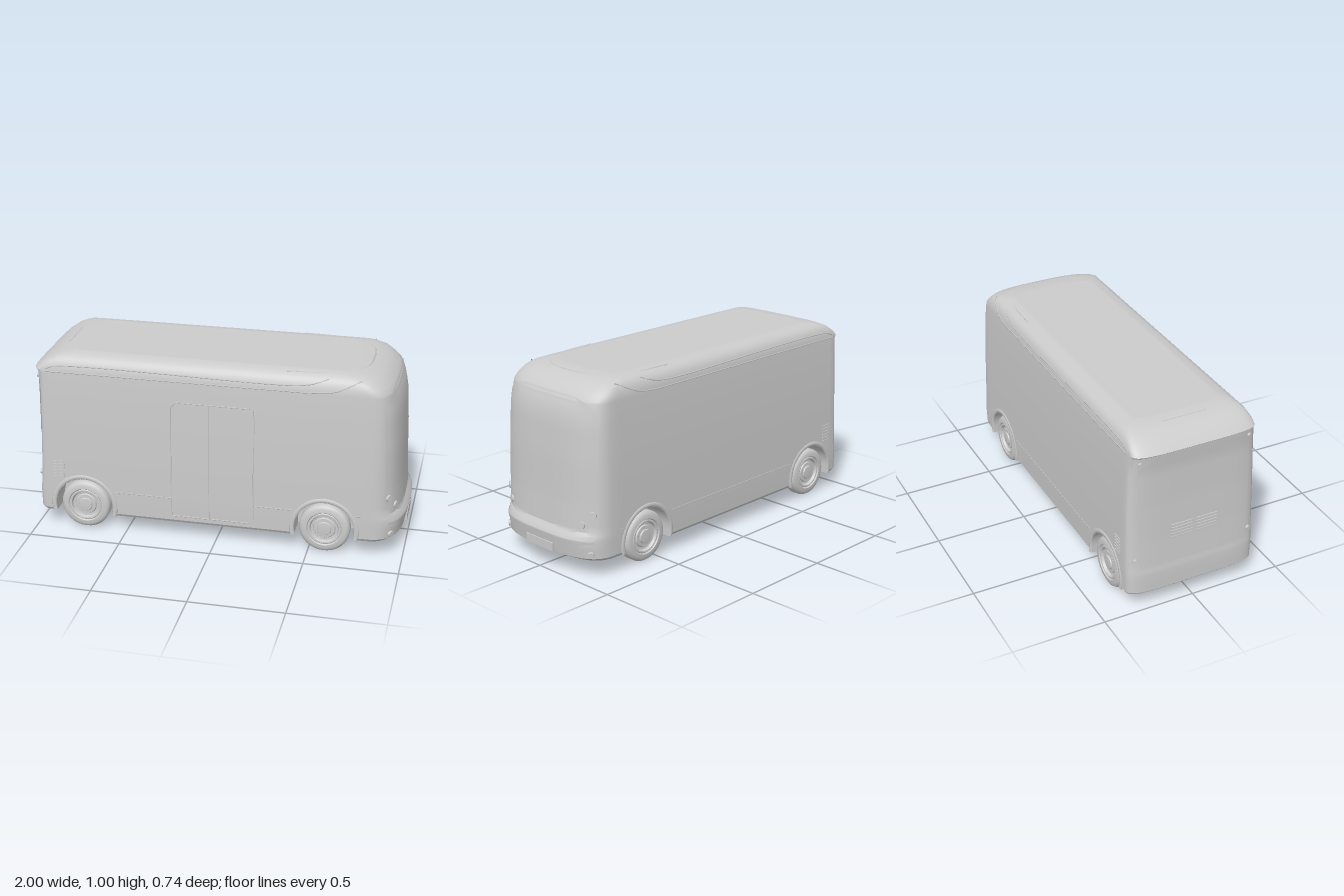
import * as THREE from 'three';
import { toCreasedNormals } from 'three/addons/utils/BufferGeometryUtils.js';

// Body profile by height: y, rear x, rear corner x, front corner x, front x, half width
const PROFILE = [
  [0.09, -0.985, -0.9, 0.78, 0.96, 0.352], [0.105, -1, -0.9, 0.78, 0.985, 0.361],
  [0.2, -1, -0.9, 0.78, 1, 0.363], [0.225, -0.998, -0.9, 0.78, 0.988, 0.363],
  [0.24, -0.995, -0.9, 0.78, 0.974, 0.363], [0.4, -0.985, -0.9, 0.78, 0.964, 0.361],
  [0.6, -0.978, -0.9, 0.78, 0.958, 0.357], [0.8, -0.976, -0.9, 0.78, 0.945, 0.349],
  [0.893, -0.985, -0.9, 0.78, 0.922, 0.343], [0.905, -1, -0.9, 0.78, 0.917, 0.342],
  [0.93, -0.975, -0.88, 0.76, 0.893, 0.338], [0.96, -0.935, -0.84, 0.73, 0.855, 0.325],
  [0.98, -0.89, -0.8, 0.68, 0.81, 0.305], [0.99, -0.855, -0.76, 0.64, 0.775, 0.28],
  [0.995, -0.8, -0.7, 0.6, 0.7, 0.24]];
const AXLES = [-0.73, 0.585], AXLE_Y = 0.135, ARCH = 0.16, FLOOR = 0.09, WELL_Z = 0.22;
const FRONT_P = 3, REAR_P = 5;
const V = (x, y, z) => new THREE.Vector3(x, y, z);
const grey = new THREE.MeshStandardMaterial({ color: 0xcccccc });
const thin = new THREE.MeshStandardMaterial({ color: 0xcccccc, side: THREE.DoubleSide });

function section(y) {
  let i = 0;
  while (i < PROFILE.length - 2 && y > PROFILE[i + 1][0]) i++;
  const a = PROFILE[i], b = PROFILE[i + 1];
  const t = THREE.MathUtils.clamp((y - a[0]) / (b[0] - a[0]), 0, 1);
  const [, xb, xr, xs, xf, hw] = a.map((v, k) => v + (b[k] - v) * t);
  return { xb, xr, xs, xf, hw };
}

// x of the front (dir 1) or rear (dir -1) skin
function endX(y, z, dir) {
  const s = section(y), p = dir > 0 ? FRONT_P : REAR_P;
  const k = Math.pow(Math.max(0, 1 - Math.pow(Math.abs(z) / s.hw, p)), 1 / p);
  return dir > 0 ? s.xs + (s.xf - s.xs) * k : s.xr + (s.xb - s.xr) * k;
}

// Smooth surface through rows of points
function grid(rows, crease = 0.5) {
  const n = rows[0].length, idx = [];
  for (let j = 0; j < rows.length - 1; j++) for (let i = 0; i < n - 1; i++) {
    const a = j * n + i, b = a + n;
    idx.push(a, a + 1, b, a + 1, b + 1, b);
  }
  const g = new THREE.BufferGeometry().setFromPoints(rows.flat());
  g.setIndex(idx);
  return toCreasedNormals(g, crease);
}

export function createModel() {
  const group = new THREE.Group();
  const add = (name, geo, mat = grey, parent = group) => {
    const m = new THREE.Mesh(geo, mat);
    m.name = name;
    parent.add(m);
    return m;
  };

  // Columns around half the body, rear centre to front centre
  const cols = [], E = 14;
  for (let i = 0; i < E; i++) cols.push({ end: -1, a: (1 - i / E) * Math.PI / 2 });
  const side = (x, bottom = FLOOR, well = false) => cols.push({ end: 0, x, bottom, well });
  side(-0.9);
  for (const ax of AXLES) {
    side(ax - ARCH);
    for (let i = 0; i <= 24; i++) {
      const a = Math.PI * (1 - i / 24);
      side(ax + ARCH * Math.cos(a), AXLE_Y + ARCH * Math.sin(a), true);
    }
    side(ax + ARCH);
    if (ax < 0) for (let x = -0.45; x < 0.4; x += 0.2) side(x);
  }
  side(0.78);
  for (let i = 1; i <= E; i++) cols.push({ end: 1, a: i / E * Math.PI / 2 });

  const skin = (c, y, s) => {
    if (c.end === 0) {
      const h = Math.max(y, c.bottom), q = section(h);
      return V(q.xr + (c.x + 0.9) / 1.68 * (q.xs - q.xr), h, s * q.hw);
    }
    const q = section(y), e = 2 / (c.end > 0 ? FRONT_P : REAR_P);
    const k = Math.pow(Math.sin(c.a), e), z = q.hw * Math.pow(Math.max(0, Math.cos(c.a)), e);
    return V(c.end > 0 ? q.xs + (q.xf - q.xs) * k : q.xr + (q.xb - q.xr) * k, y, s * z);
  };
  const levels = [...PROFILE.map(r => r[0]), 0.15, 0.28, 0.32, 0.5, 0.7, 0.945, 0.97].sort((a, b) => a - b);
  add('bodyShell', grid(levels.map(y => [
    ...cols.map(c => skin(c, y, 1)), ...cols.slice().reverse().map(c => skin(c, y, -1))])));

  // Roof and floor close the shell; the floor is notched at the wheels
  add('roof', grid([1, -1].map(s => cols.map(c => skin(c, 0.995, s)))));
  add('floor', grid([-1, 1].map(s => cols.map(c => {
    const p = skin(c, FLOOR, s);
    return V(p.x, FLOOR, c.well ? s * WELL_Z : p.z);
  }))), thin);

  // Wheel: tyre, rim and hub turned as one profile
  const wheelGeo = toCreasedNormals(new THREE.LatheGeometry([
    [0, -0.04], [0.11, -0.04], [0.128, -0.034], [0.135, -0.022], [0.135, 0.022], [0.128, 0.034],
    [0.116, 0.04], [0.095, 0.041], [0.09, 0.035], [0.086, 0.038], [0.078, 0.037], [0.072, 0.024],
    [0.06, 0.022], [0.056, 0.029], [0.038, 0.031], [0.035, 0.037], [0, 0.039]
  ].map(p => new THREE.Vector2(...p)), 40), 0.6);
  for (const s of [1, -1]) for (const ax of AXLES) {
    const wheel = add('wheel', wheelGeo);
    wheel.rotation.x = s * Math.PI / 2;
    wheel.position.set(ax, AXLE_Y, s * 0.312);
    // Wheel well with its inner wall
    const contour = [[ARCH, FLOOR - AXLE_Y]];
    for (let i = 0; i <= 24; i++) contour.push([ARCH * Math.cos(i * Math.PI / 24), ARCH * Math.sin(i * Math.PI / 24)]);
    contour.push([-ARCH, FLOOR - AXLE_Y]);
    const loop = (k, z) => contour.map(([x, y]) => V(ax + x * k, k ? AXLE_Y + y : FLOOR, s * z));
    add('wheelWell', grid([loop(0, WELL_Z), loop(1, WELL_Z), loop(1, 0.36)]), thin);
    // Raised arch trim
    const flare = add('archTrim', new THREE.TorusGeometry(0.172, 0.013, 8, 32, Math.PI + 0.5));
    flare.geometry.rotateZ(-0.25);
    flare.scale.z = 0.5;
    flare.position.set(ax, AXLE_Y, s * 0.361);
  }

  // Thin trim bead through 3D points
  const bead = (name, pts, r = 0.003, curved = false) => {
    let path = new THREE.CatmullRomCurve3(pts);
    if (!curved) {
      path = new THREE.CurvePath();
      for (let i = 1; i < pts.length; i++) path.add(new THREE.LineCurve3(pts[i - 1], pts[i]));
    }
    return add(name, new THREE.TubeGeometry(path, pts.length * 6, r, 5), thin);
  };
  const onSide = (pts, s) => pts.map(([x, y]) => V(x, y, s * section(y).hw));
  for (const s of [1, -1]) {
    bead('cantrailLower', onSide([[-0.92, 0.9], [0.3, 0.9], [0.52, 0.902], [0.62, 0.915], [0.7, 0.95], [0.75, 0.975]], s), 0.0035, true);
    bead('cantrailUpper', onSide([[-0.92, 0.915], [-0.88, 0.93], [0.3, 0.93], [0.44, 0.935], [0.52, 0.95], [0.58, 0.972]], s), 0.0035, true);
    const belts = s > 0 ? [[-0.55, -0.24], [0.205, 0.41], [0.76, 0.86]] : [[-0.55, 0.41], [0.76, 0.86]];
    for (const [a, b] of belts)
      bead('beltLine', [a, b].map(x => V(x, 0.235, s * (x > 0.78 ? 0.352 : 0.363))), 0.0025);
    for (let i = 0; i < 6; i++) {
      const slat = add('ventSlat', new THREE.BoxGeometry(0.06, 0.007, 0.008));
      slat.position.set(-0.865, 0.3 + i * 0.018, s * 0.361);
    }
  }

  // Double door on the left-hand flank of the +z side
  bead('doorFrame', onSide([[-0.24, 0.13], [-0.24, 0.4], [-0.24, 0.785], [0.205, 0.785], [0.205, 0.4], [0.205, 0.13], [-0.24, 0.13]], 1));
  bead('doorSplit', onSide([[-0.035, 0.13], [-0.035, 0.4], [-0.035, 0.785]], 1));

  // Roof panel outline and rear roof seam
  bead('roofPanelEdge', [[0.36, 0.285], [0.58, 0.27], [0.7, 0.22], [0.76, 0.13], [0.775, 0], [0.76, -0.13], [0.7, -0.22], [0.58, -0.27], [0.36, -0.285]]
    .map(([x, z]) => V(x, x > 0.65 ? 0.989 : 0.988, z)), 0.004, true);
  bead('roofSeam', [V(-0.855, 0.989, -0.12), V(-0.855, 0.989, 0.12)]);

  // Panels hugging the front or rear skin; lo and hi give the edges at each z
  const patch = (name, dir, w, lo, hi, off = 0.004) => {
    const rows = [];
    for (let j = 0; j <= 12; j++) rows.push(Array.from({ length: 33 }, (_, i) => {
      const z = dir * w * (1 - i / 16), y = THREE.MathUtils.lerp(lo(z), hi(z), j / 12);
      return V(endX(y, z, dir) + dir * off, y, z);
    }));
    return add(name, grid(rows), thin);
  };
  const bend = (z, from, to) => THREE.MathUtils.smoothstep(Math.abs(z), from, to);
  patch('windscreen', 1, 0.33, z => 0.383 + 0.014 * bend(z, 0.2, 0.24), z => 0.918 - 0.09 * Math.pow(Math.abs(z) / 0.33, 6));
  patch('lampPanel', 1, 0.335, z => 0.232 + 0.05 * bend(z, 0.2, 0.36), z => 0.377 + 0.014 * bend(z, 0.2, 0.24), 0.003);
  patch('bumperLip', 1, 0.33, z => 0.165 + 0.02 * bend(z, 0.15, 0.34), z => 0.205 + 0.02 * bend(z, 0.15, 0.34), 0.003);
  patch('rearWindow', -1, 0.31, () => 0.53, z => 0.885 - 0.06 * Math.pow(Math.abs(z) / 0.31, 6));
  patch('engineHatch', -1, 0.3, () => 0.25, () => 0.515, 0.003);

  // Lamps set square to the skin
  const lamp = (name, dir, y, z, r) => {
    const d = 0.005, n = V(dir, -dir * (endX(y + d, z, dir) - endX(y - d, z, dir)) / (2 * d),
      -dir * (endX(y, z + d, dir) - endX(y, z - d, dir)) / (2 * d)).normalize();
    const m = add(name, new THREE.CylinderGeometry(r * 0.85, r, 0.02, 24));
    m.quaternion.setFromUnitVectors(V(0, 1, 0), n);
    m.position.set(endX(y, z, dir), y, z);
  };
  for (const s of [1, -1]) {
    lamp('headlight', 1, 0.335, s * 0.313, 0.021);
    lamp('mainBeam', 1, 0.28, s * 0.263, 0.021);
    lamp('fogLamp', 1, 0.127, s * 0.31, 0.019);
    lamp('tailLamp', -1, 0.3, s * 0.322, 0.014);
    lamp('markerLamp', -1, 0.86, s * 0.3, 0.012);
  }

  // Number plate holder, engine grille and rear bumper recess
  add('plateHolder', new THREE.BoxGeometry(0.03, 0.045, 0.2)).position.set(0.983, 0.128, 0);
  for (let i = 0; i < 5; i++) for (const z of [-0.07, 0.07])
    add('grilleSlat', new THREE.BoxGeometry(0.012, 0.009, 0.12)).position.set(-0.985, 0.39 + i * 0.018, z);
  bead('rearBumperRecess', [[0.105, -0.2], [0.175, -0.15], [0.175, 0.15], [0.105, 0.2]].map(([y, z]) => V(endX(y, z, -1) + 0.002, y, z)), 0.002);
  return group;
}
